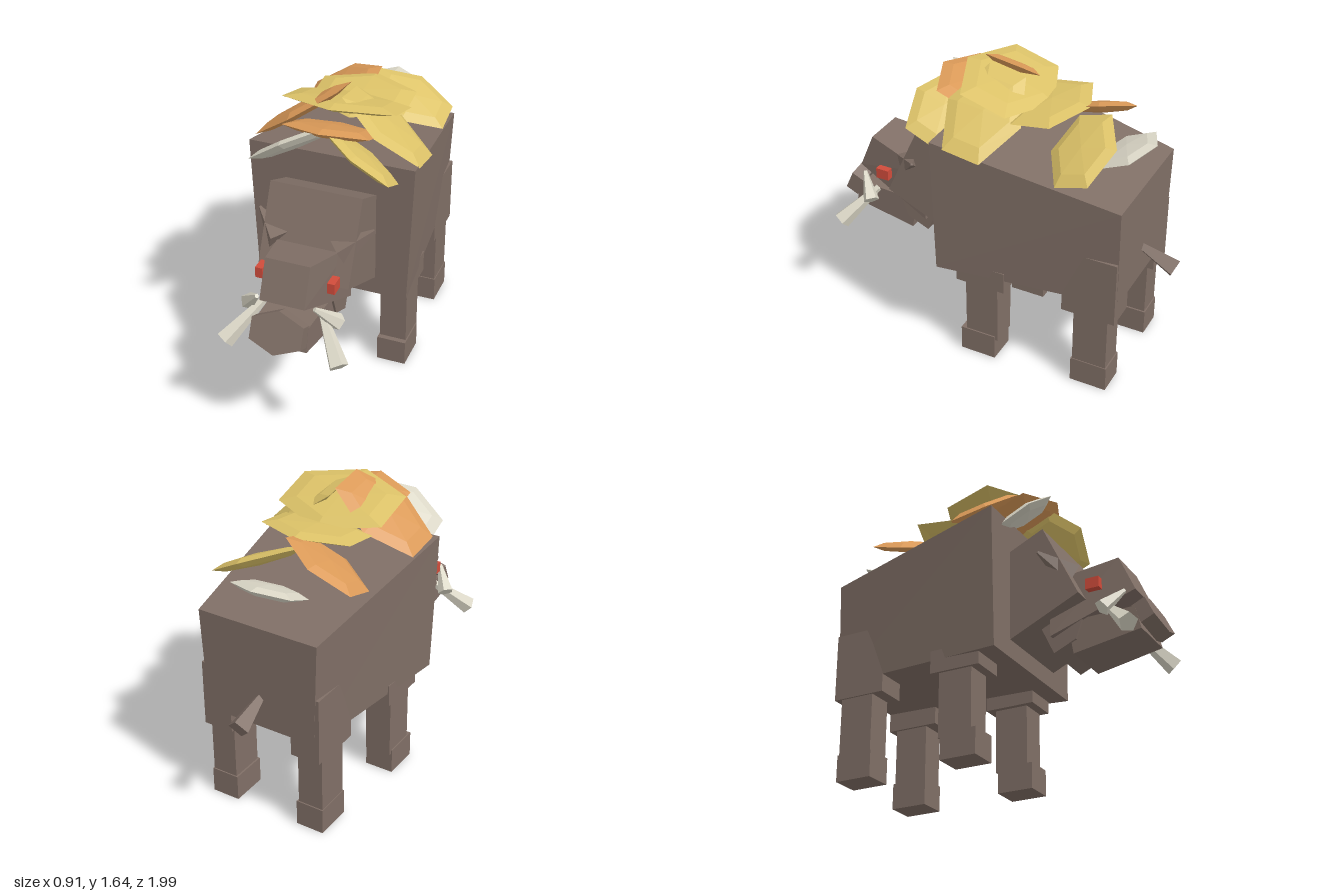
import * as THREE from 'three';

const mat = (name, color) => {
  const m = new THREE.MeshStandardMaterial({ color, flatShading: true });
  m.name = name;
  return m;
};

export function createModel() {
  const model = new THREE.Group();
  model.name = 'boar';
  const hide = mat('brown hide', 0x806f66);
  const yellow = mat('yellow leaf', 0xdcc268);
  const orange = mat('orange leaf', 0xdb9a58);
  const cream = mat('cream ivory', 0xdad6c6);
  const red = mat('red eye', 0xd04c3b);

  const add = (name, geo, material, parent = model) => {
    const mesh = new THREE.Mesh(geo, material);
    mesh.name = name;
    parent.add(mesh);
    return mesh;
  };

  // Six-sided block from a side profile; each corner is [z, y, half width]
  const block = (topFront, bottomFront, bottomBack, topBack) => {
    const geo = new THREE.BoxGeometry(1, 1, 1);
    const p = geo.attributes.position;
    for (let i = 0; i < p.count; i++) {
      const top = p.getY(i) > 0, front = p.getZ(i) > 0;
      const c = front ? (top ? topFront : bottomFront) : (top ? topBack : bottomBack);
      p.setXYZ(i, Math.sign(p.getX(i)) * c[2], c[1], c[0]);
    }
    geo.computeVertexNormals();
    return geo;
  };

  // Axis-aligned box from its limits
  const box = (x0, x1, y0, y1, z0, z1) =>
    new THREE.BoxGeometry(x1 - x0, y1 - y0, z1 - z0)
      .translate((x0 + x1) / 2, (y0 + y1) / 2, (z0 + z1) / 2);

  // Tapered rod between two points
  const rod = (a, b, ra, rb, sides) => {
    const from = new THREE.Vector3(...a), to = new THREE.Vector3(...b);
    const dir = to.clone().sub(from);
    const geo = new THREE.CylinderGeometry(rb, ra, dir.length(), sides);
    geo.applyQuaternion(new THREE.Quaternion().setFromUnitVectors(
      new THREE.Vector3(0, 1, 0), dir.normalize()));
    const mid = from.add(to).multiplyScalar(0.5);
    return geo.translate(mid.x, mid.y, mid.z);
  };

  // Trunk and head
  add('body', block([0.22, 1.335, 0.455], [0.22, 0.54, 0.425],
    [-0.79, 0.565, 0.325], [-0.795, 1.145, 0.35]), hide);
  add('neck', block([0.415, 1.24, 0.25], [0.61, 0.82, 0.25],
    [0.15, 0.61, 0.25], [0.15, 1.12, 0.25]), hide);
  add('head', block([0.785, 1.035, 0.12], [0.87, 0.835, 0.12],
    [0.42, 0.64, 0.19], [0.42, 0.95, 0.19]), hide);
  add('jaw', block([0.87, 0.73, 0.14], [0.9, 0.6, 0.14],
    [0.53, 0.535, 0.15], [0.5, 0.72, 0.15]), hide);
  add('throat', block([0.6, 0.75, 0.16], [0.55, 0.61, 0.16],
    [0.425, 0.555, 0.16], [0.35, 0.72, 0.16]), hide);

  // Hexagonal snout disc tipped upward
  const snout = add('snout', new THREE.CylinderGeometry(0.16, 0.16, 0.08, 6)
    .rotateX(Math.PI / 2).scale(1, 0.71, 1), hide);
  snout.position.set(0, 0.7, 0.911);
  snout.rotation.x = -0.43;

  add('tail', rod([0, 0.745, -0.76], [0, 0.655, -0.975], 0.02, 0.06, 4), hide);

  // Paired parts
  for (const [side, s] of [['left', 1], ['right', -1]]) {
    const bx = (x0, x1, ...rest) => s > 0 ? box(x0, x1, ...rest) : box(-x1, -x0, ...rest);
    add(side + 'Eye', bx(0.175, 0.215, 0.845, 0.905, 0.635, 0.71), red);
    add(side + 'Ear', rod([s * 0.16, 0.97, 0.53], [s * 0.315, 1.07, 0.415], 0.075, 0.008, 4), hide);
    add(side + 'LowerTusk', rod([s * 0.16, 0.74, 0.74], [s * 0.31, 0.56, 0.9], 0.02, 0.052, 5), cream);
    add(side + 'UpperTusk', rod([s * 0.155, 0.82, 0.825], [s * 0.245, 0.705, 0.735], 0.012, 0.046, 5), cream);

    const front = new THREE.Group();
    front.name = side + 'FrontLeg';
    add('shoulder', bx(0.2, 0.395, 0.475, 0.6, -0.17, 0.115), hide, front);
    add('shin', bx(0.228, 0.38, 0.12, 0.5, -0.125, 0.065), hide, front);
    add('foot', bx(0.223, 0.387, 0, 0.145, -0.11, 0.095), hide, front);

    const hind = new THREE.Group();
    hind.name = side + 'HindLeg';
    add('thigh', bx(0.185, 0.355, 0.46, 0.835, -0.79, -0.49), hide, hind);
    add('shin', bx(0.2, 0.345, 0.12, 0.5, -0.75, -0.557), hide, hind);
    add('foot', bx(0.19, 0.35, 0, 0.145, -0.757, -0.55), hide, hind);
    model.add(front, hind);
  }

  // Overlapping hexagonal leaves on the back:
  // name, material, centre, half width, half depth, pitch, roll
  const leaves = [
    ['crownLeaf', yellow, [0, 1.53, -0.01], 0.31, 0.26, -0.28, 0],
    ['frontLeaf', orange, [0, 1.47, 0.2], 0.235, 0.2, -0.35, 0],
    ['midBackLeaf', yellow, [0, 1.455, -0.25], 0.265, 0.215, 0.15, 0],
    ['rumpLeaf', cream, [0, 1.295, -0.675], 0.18, 0.168, 0.41, 0],
    ['rightSideLeaf', orange, [-0.22, 1.48, 0.05], 0.265, 0.21, -0.15, 0.6],
    ['leftSideLeaf', yellow, [0.235, 1.445, 0.02], 0.265, 0.21, -0.15, -0.6],
    ['rightFrontLeaf', cream, [-0.19, 1.395, 0.28], 0.215, 0.175, -0.42, 0.52],
    ['leftFrontLeaf', yellow, [0.19, 1.39, 0.28], 0.215, 0.175, -0.42, -0.52],
    ['rightBackLeaf', orange, [-0.19, 1.39, -0.445], 0.225, 0.185, 0.28, 0.45],
    ['leftBackLeaf', yellow, [0.185, 1.345, -0.51], 0.225, 0.185, 0.28, -0.45],
  ];
  const mane = new THREE.Group();
  mane.name = 'leafMane';
  for (const [name, material, centre, w, d, pitch, roll] of leaves) {
    const geo = new THREE.SphereGeometry(1, 6, 4).rotateY(Math.PI / 6)
      .scale(w / Math.cos(Math.PI / 6), 0.032, d);
    const leaf = add(name, geo, material, mane);
    leaf.position.set(...centre);
    leaf.rotation.set(pitch, 0, roll);
  }
  model.add(mane);
  return model;
}
